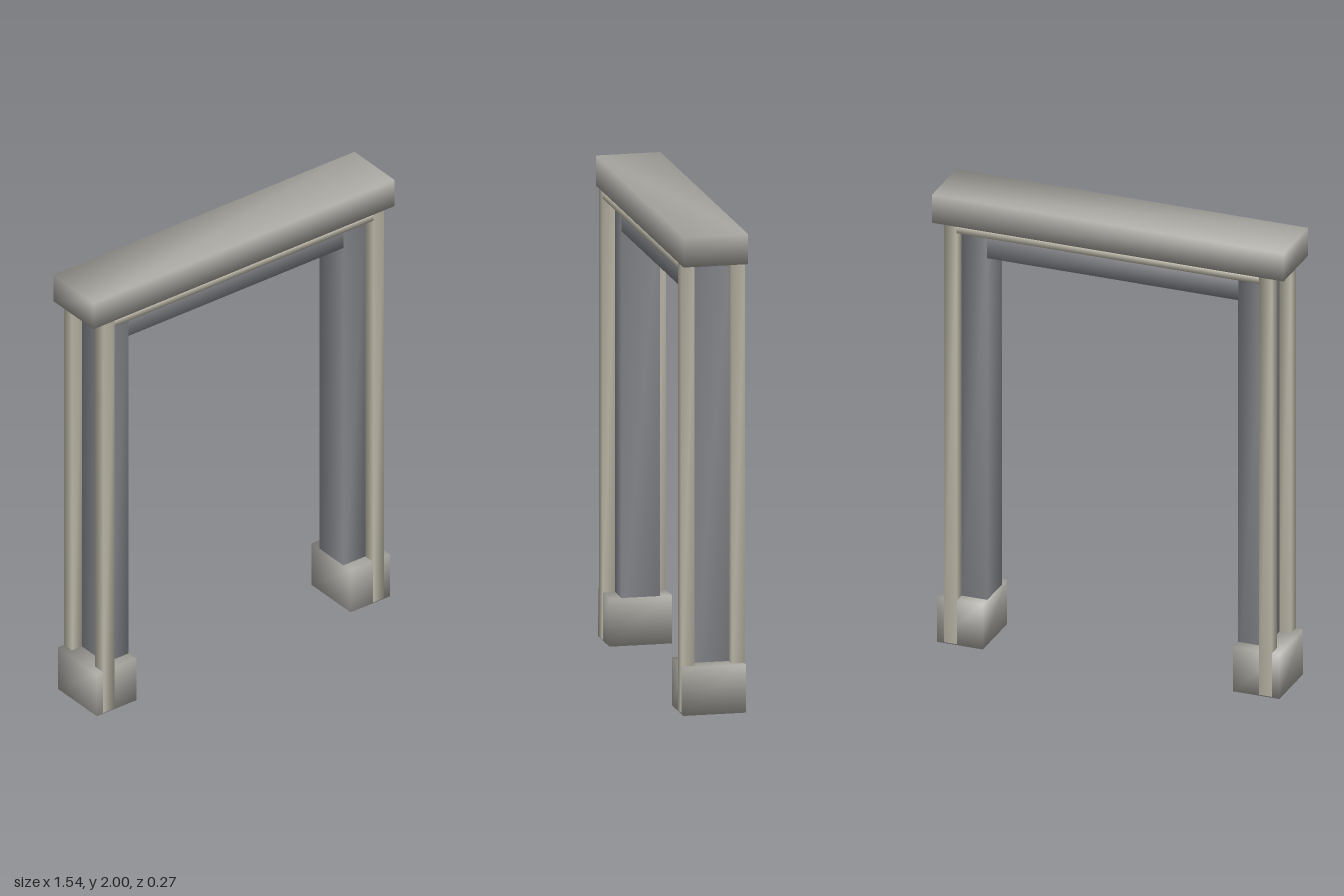
import * as THREE from 'three';
import { mergeVertices } from 'three/addons/utils/BufferGeometryUtils.js';

const stone = new THREE.MeshStandardMaterial({ color: 0xaaa8a2 });
const trim = new THREE.MeshStandardMaterial({ color: 0xbcb7a8 });
const slate = new THREE.MeshStandardMaterial({ color: 0x85878c });

// Box given by its limits, with corners shared so the shading is soft
function block(name, material, [x0, x1], [y0, y1], [z0, z1]) {
  let geometry = new THREE.BoxGeometry(x1 - x0, y1 - y0, z1 - z0);
  geometry.deleteAttribute('normal');
  geometry.deleteAttribute('uv');
  geometry = mergeVertices(geometry);
  geometry.computeVertexNormals();
  const mesh = new THREE.Mesh(geometry, material);
  mesh.name = name;
  mesh.position.set((x0 + x1) / 2, (y0 + y1) / 2, (z0 + z1) / 2);
  return mesh;
}

// Limits on the +side or mirrored to the -side
const span = (side, near, far) => (side > 0 ? [near, far] : [-far, -near]);

export function createModel() {
  const model = new THREE.Group();
  model.name = 'doorFrame';

  // Capping beam and the lintel beneath it
  model.add(block('topBeam', stone, [-0.77, 0.77], [1.875, 2], [-0.135, 0.135]));
  model.add(block('lintel', slate, [-0.55, 0.55], [1.73, 1.845], [-0.08, 0.08]));

  // Jambs on foot blocks, with a slim upright at each outer corner
  for (const [side, label] of [[1, 'left'], [-1, 'right']]) {
    const leg = new THREE.Group();
    leg.name = label + 'Leg';
    leg.add(block(label + 'Foot', stone, span(side, 0.548, 0.75), [0, 0.2], [-0.131, 0.131]));
    leg.add(block(label + 'Jamb', slate, span(side, 0.549, 0.668), [0, 1.845], [-0.08, 0.08]));
    for (const [face, where] of [[1, 'Front'], [-1, 'Back']]) {
      leg.add(block(label + where + 'Upright', trim,
        span(side, 0.662, 0.718), [0.005, 1.875], span(face, 0.078, 0.133)));
    }
    model.add(leg);
  }

  // Thin rails joining the uprights under the beam
  for (const [face, label] of [[1, 'front'], [-1, 'back']]) {
    model.add(block(label + 'Rail', trim, [-0.662, 0.662], [1.845, 1.875], span(face, 0.078, 0.133)));
  }
  return model;
}
